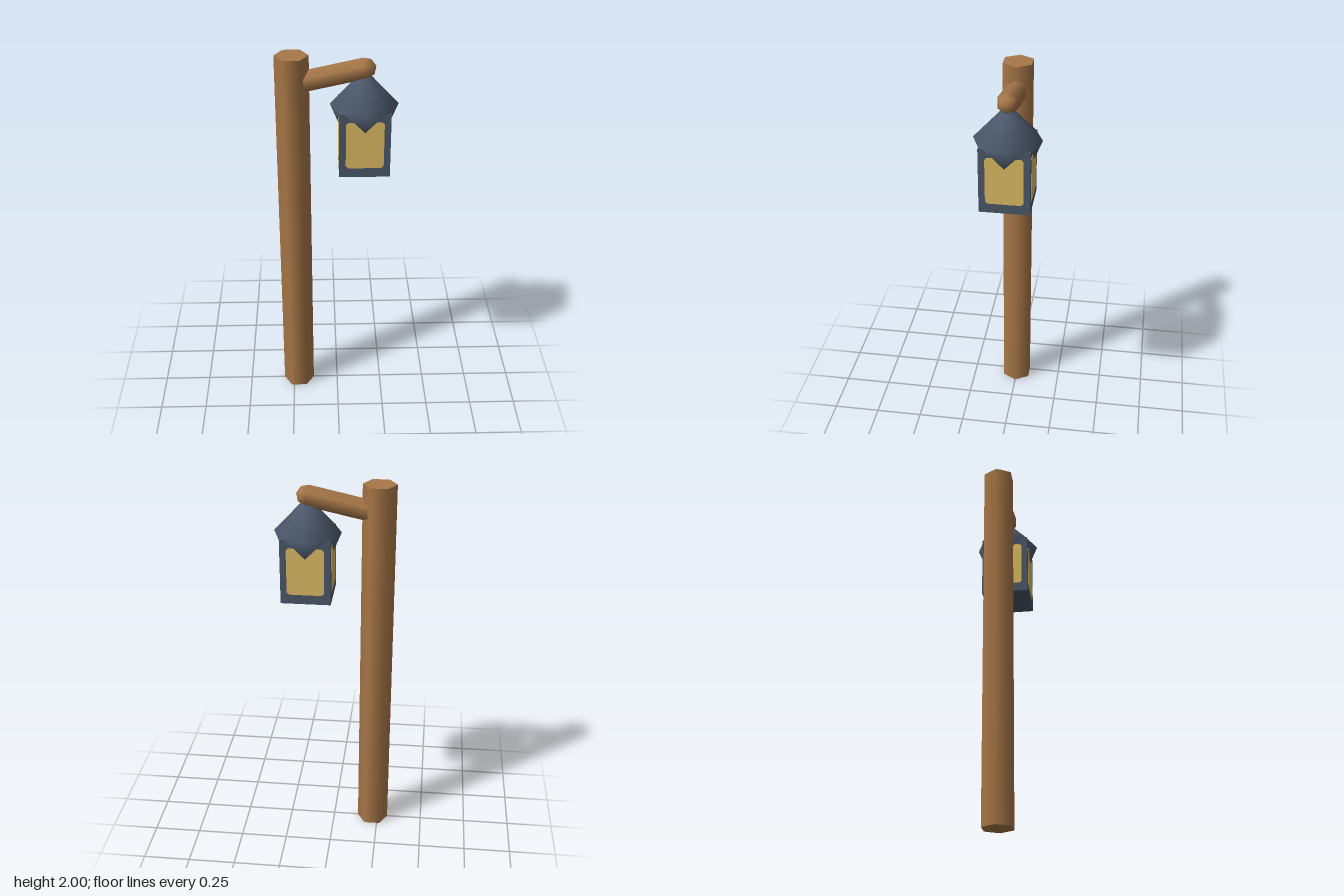
import * as THREE from 'three';

export function createModel() {
  const model = new THREE.Group();
  model.name = 'lampPost';

  const wood = new THREE.MeshStandardMaterial({ name: 'wood', color: 0xa87848 });
  const iron = new THREE.MeshStandardMaterial({ name: 'darkIron', color: 0x4c586a });
  const glow = new THREE.MeshStandardMaterial({ name: 'yellowGlass', color: 0xe0be65 });

  function add(parent, name, geometry, material, x = 0, y = 0, z = 0) {
    const mesh = new THREE.Mesh(geometry, material);
    mesh.name = name;
    mesh.position.set(x, y, z);
    parent.add(mesh);
    return mesh;
  }

  // Hexagonal post with a corner towards each side
  add(model, 'post', new THREE.CylinderGeometry(0.085, 0.085, 2, 6, 1, false, Math.PI / 6), wood, -0.222, 1, 0);

  // Round-ended arm rising slightly out of the post
  const start = new THREE.Vector3(-0.2, 1.857, 0);
  const end = new THREE.Vector3(0.136, 1.93, 0);
  const span = end.clone().sub(start);
  const middle = start.clone().add(end).multiplyScalar(0.5);
  const arm = add(model, 'arm', new THREE.CapsuleGeometry(0.056, span.length(), 2, 6), wood, middle.x, middle.y, 0);
  arm.rotation.z = Math.atan2(span.y, span.x) - Math.PI / 2;

  // Lantern hanging under the arm
  const lantern = new THREE.Group();
  lantern.name = 'lantern';
  lantern.position.set(0.135, 0, 0);
  model.add(lantern);

  add(lantern, 'lanternBody', new THREE.BoxGeometry(0.255, 0.342, 0.255), iron, 0, 1.571, 0);

  // Eight-sided roof: pointed above, tucking into the body below the eaves
  const roofProfile = [[0, 1.575], [0.121, 1.624], [0.171, 1.745], [0.035, 1.89], [0, 1.912]]
    .map(([r, y]) => new THREE.Vector2(r, y));
  add(lantern, 'roof', new THREE.LatheGeometry(roofProfile, 8), iron);

  // Window panes with clipped corners, one on each side
  const w = 0.095, low = 1.45, high = 1.7, c = 0.012;
  const paneShape = new THREE.Shape([
    [-w + c, low], [w - c, low], [w, low + c], [w, high - c],
    [w - c, high], [-w + c, high], [-w, high - c], [-w, low + c],
  ].map(([x, y]) => new THREE.Vector2(x, y)));
  const paneGeometry = new THREE.ExtrudeGeometry(paneShape, { depth: 0.003, bevelEnabled: false });
  paneGeometry.translate(0, 0, 0.126);
  for (let i = 0; i < 4; i++) {
    add(lantern, 'windowPane' + (i + 1), paneGeometry, glow).rotation.y = i * Math.PI / 2;
  }

  return model;
}
